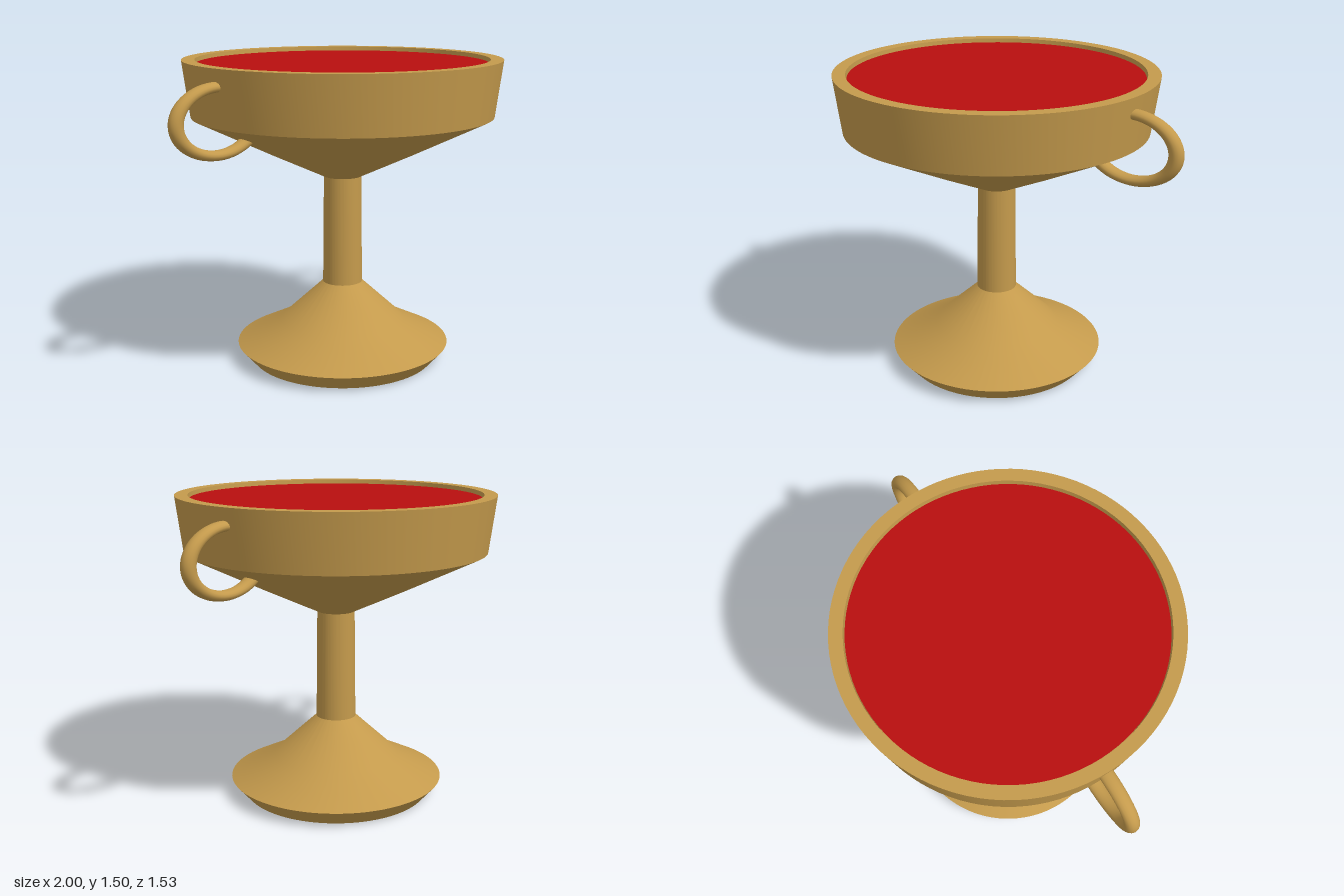
import * as THREE from 'three';
import { toCreasedNormals } from 'three/addons/utils/BufferGeometryUtils.js';

const gold = new THREE.MeshStandardMaterial({ color: 0xc49a4c });
gold.name = 'gold';
const red = new THREE.MeshStandardMaterial({ color: 0xb80f0f });
red.name = 'red liquid';

// Turned part from [radius, height] pairs, with sharp corners kept
function turned(name, profile) {
  const points = profile.map(([r, y]) => new THREE.Vector2(r, y));
  const geometry = toCreasedNormals(new THREE.LatheGeometry(points, 96), 0.4);
  const mesh = new THREE.Mesh(geometry, gold);
  mesh.name = name;
  return mesh;
}

export function createModel() {
  const goblet = new THREE.Group();
  goblet.name = 'goblet';

  // Flared foot with an undercut edge
  goblet.add(turned('foot', [[0, 0], [0.46, 0], [0.53, 0.08], [0.31, 0.19], [0.098, 0.387]]));

  // Slightly tapered stem
  goblet.add(turned('stem', [[0.098, 0.387], [0.092, 0.925]]));

  // Bowl: conical underside, steep wall, flat rim and hollow inside
  goblet.add(turned('bowl', [
    [0.092, 0.925], [0.365, 1.053], [0.73, 1.23], [0.765, 1.5],
    [0.703, 1.5], [0.68, 1.27], [0, 1.0],
  ]));

  // Liquid surface just below the rim
  const liquid = new THREE.Mesh(new THREE.CircleGeometry(0.698, 96), red);
  liquid.name = 'liquid';
  liquid.rotation.x = -Math.PI / 2;
  liquid.position.y = 1.48;
  goblet.add(liquid);

  // Oval ring handles, sunk into the bowl on both sides
  const ring = new THREE.TorusGeometry(0.216, 0.034, 16, 64);
  ring.scale(1, 0.69, 1);
  for (const side of [1, -1]) {
    const handle = new THREE.Mesh(ring, gold);
    handle.name = side > 0 ? 'leftHandle' : 'rightHandle';
    handle.position.set(side * 0.75, 1.27, 0);
    goblet.add(handle);
  }
  return goblet;
}
